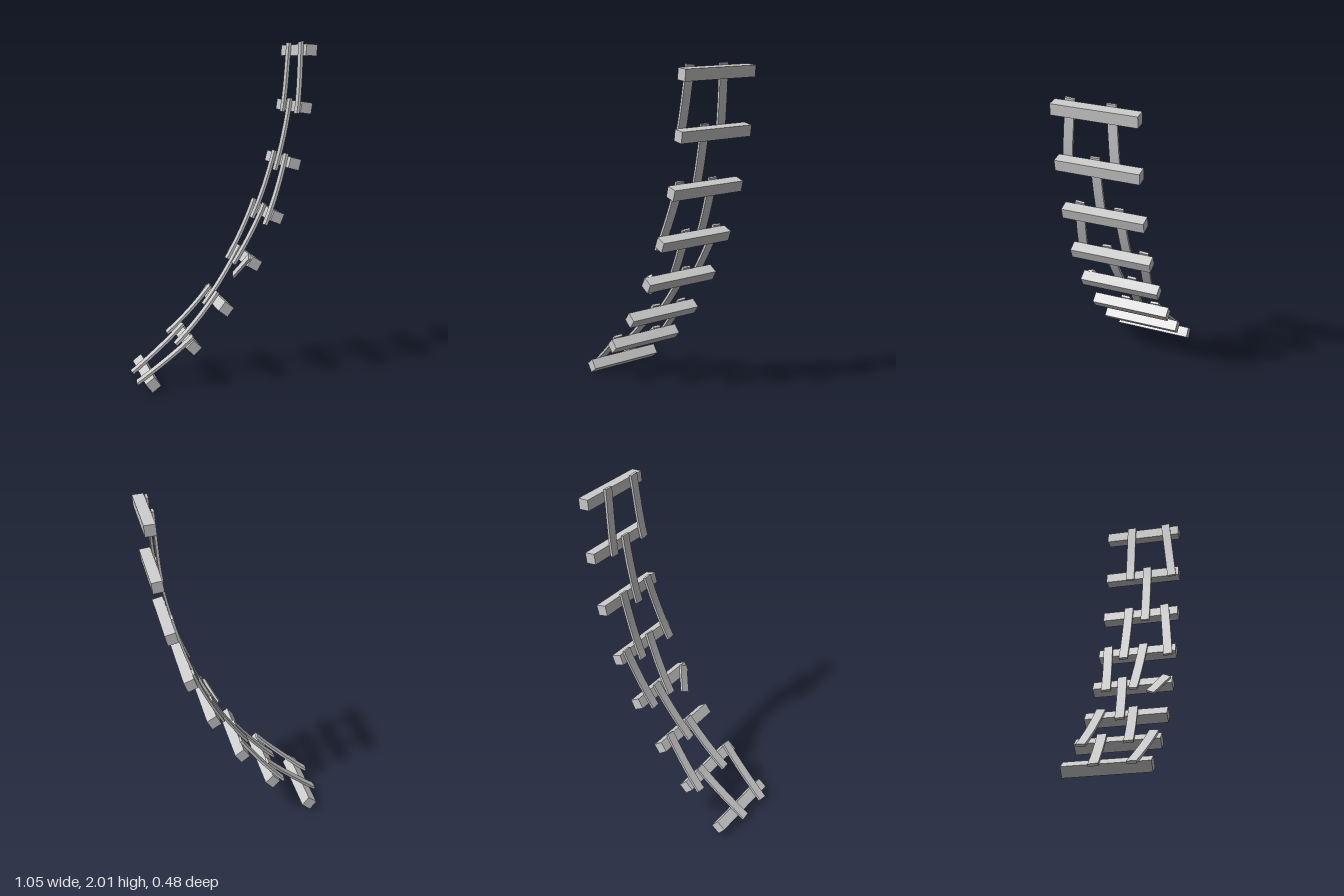
import * as THREE from 'three';

const BEAM = 0.065, BEAM_LENGTH = 0.484;
const SLAT_WIDTH = 0.055, SLAT_THICK = 0.015;
const SUBDIV = 20;

// Side profile: the inner points are the centres of the eight beams
const profile = [
  [-0.526, -0.012],
  [-0.444, 0.048], [-0.204, 0.252], [-0.012, 0.471], [0.159, 0.73],
  [0.292, 0.999], [0.394, 1.308], [0.46, 1.629], [0.487, 1.957],
  [0.493, 2.05],
];
const curve = new THREE.CatmullRomCurve3(profile.map(([x, y]) => new THREE.Vector3(x, y, 0)));
curve.arcLengthDivisions = (profile.length - 1) * SUBDIV;
const lengths = curve.getLengths();
const total = curve.getLength();
const beamAt = (n) => lengths[n * SUBDIV]; // distance along the curve of beam 1..8

// Slats: [lower beam, z at lower end, upper beam, z at upper end]
const slats = [
  [1, -0.056, 2, -0.095], [1, 0.145, 2, 0.198],
  [2, -0.195, 3, -0.15], [2, 0.073, 3, 0.04],
  [3, -0.025, 4, -0.064],
  [4, -0.152, 5, -0.186], [4, 0.012, 5, 0.04],
  [5, -0.08, 6, -0.074], [5, 0.2, 6, 0.157],
  [6, 0.035, 7, 0.035],
  [7, -0.08, 8, -0.073], [7, 0.2, 8, 0.157],
];

// Point and tangent at a distance along the curve
function frame(s) {
  const u = THREE.MathUtils.clamp(s / total, 0, 1);
  return { p: curve.getPointAt(u), t: curve.getTangentAt(u) };
}

// Board tilted in its own plane, then bent to lie on the beams
function bentSlat(s, z, length, tilt) {
  const geo = new THREE.BoxGeometry(length, SLAT_THICK, SLAT_WIDTH, 8, 1, 1);
  geo.rotateY(-tilt);
  geo.translate(s, (BEAM + SLAT_THICK) / 2, z);
  const pos = geo.attributes.position;
  for (let i = 0; i < pos.count; i++) {
    const { p, t } = frame(pos.getX(i));
    const d = pos.getY(i);
    pos.setXYZ(i, p.x - t.y * d, p.y + t.x * d, pos.getZ(i));
  }
  geo.computeVertexNormals();
  return geo;
}

export function createModel() {
  const group = new THREE.Group();
  const material = new THREE.MeshStandardMaterial({ color: 0xcccccc, flatShading: true });
  const add = (name, geo) => {
    const mesh = new THREE.Mesh(geo, material);
    mesh.name = name;
    group.add(mesh);
    return mesh;
  };

  // Cross beams, turned to follow the curve
  for (let n = 1; n <= 8; n++) {
    const { p, t } = frame(beamAt(n));
    const beam = add('crossBeam' + n, new THREE.BoxGeometry(BEAM, BEAM, BEAM_LENGTH));
    beam.position.copy(p);
    beam.rotation.z = Math.atan2(t.y, t.x);
  }

  // Slats, each spanning two neighbouring beams with a little overhang
  slats.forEach(([a, za, b, zb], i) => {
    const s0 = beamAt(a) - (a === 7 ? 0.042 : 0.07);
    const s1 = beamAt(b) + 0.045;
    const length = Math.hypot(s1 - s0, zb - za);
    add('slat' + (i + 1), bentSlat((s0 + s1) / 2, (za + zb) / 2, length, Math.atan2(zb - za, s1 - s0)));
  });

  // Short broken slat hanging askew
  add('brokenSlat', bentSlat(beamAt(4) - 0.05, 0.166, 0.172, 0.54));

  return group;
}
